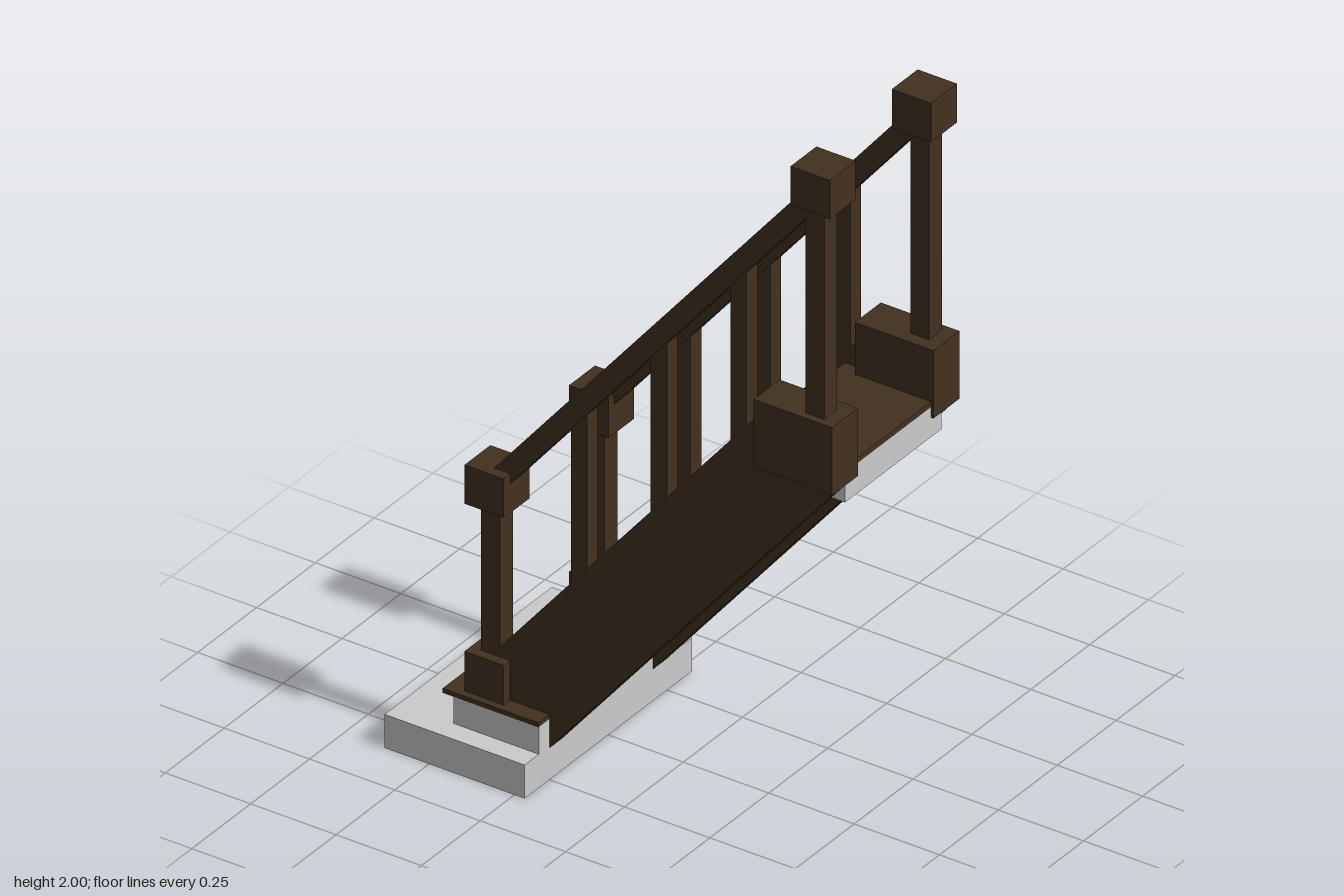
import * as THREE from 'three';

export function createModel() {
  const model = new THREE.Group();
  model.name = 'staircase';
  const wood = new THREE.MeshStandardMaterial({ color: 0x42311f });
  const stone = new THREE.MeshStandardMaterial({ color: 0xcccccc });

  function add(parent, name, geometry, material) {
    const mesh = new THREE.Mesh(geometry, material);
    mesh.name = name;
    parent.add(mesh);
    return mesh;
  }

  // Box given by its extents along x, y and z
  function box(parent, name, [x0, x1], [y0, y1], [z0, z1], material) {
    const mesh = add(parent, name, new THREE.BoxGeometry(x1 - x0, y1 - y0, z1 - z0), material);
    mesh.position.set((x0 + x1) / 2, (y0 + y1) / 2, (z0 + z1) / 2);
  }

  // Side profile in x and y, extruded from z0 to z1
  function plank(parent, name, points, [z0, z1], material) {
    const shape = new THREE.Shape(points.map(([x, y]) => new THREE.Vector2(x, y)));
    const geometry = new THREE.ExtrudeGeometry(shape, { depth: z1 - z0, bevelEnabled: false });
    add(parent, name, geometry, material).position.z = z0;
  }

  // Stone footing and the first, wide step
  box(model, 'footingSlab', [-0.63, -0.22], [0, 0.095], [-0.355, 0.355], stone);
  box(model, 'firstStepBlock', [-0.47, -0.22], [0.095, 0.172], [-0.295, 0.295], stone);
  box(model, 'firstStepTread', [-0.5, -0.22], [0.172, 0.185], [-0.297, 0.297], wood);

  // Steps: a wooden tread on a stone block; the top one is a deeper landing
  const STEPS = 9, RUN = 0.0885, RISE = 0.1075;
  for (let i = 0; i < STEPS; i++) {
    const top = i === STEPS - 1;
    const x = -0.365 + i * RUN;
    const y = 0.295 + i * RISE;
    const back = top ? 0.615 : x + 0.205;
    const half = top ? 0.205 : 0.192;
    box(model, 'tread', [x, back], [y - 0.015, y], [-half, half], wood);
    box(model, 'stepBlock', [x + 0.02, back], [y - 0.1, y - 0.015], [-half, half], stone);
  }

  // One side: stringer, posts, handrail and balusters; z runs outward
  const SLOPE = 1.217;
  const railTop = (x) => 0.823 + (x + 0.385) * SLOPE;
  const stringerTop = (x) => 0.32 + (x + 0.37) * SLOPE;

  for (const side of [1, -1]) {
    const group = new THREE.Group();
    group.name = side > 0 ? 'frontBalustrade' : 'backBalustrade';
    model.add(group);
    const span = (a, b) => (side > 0 ? [a, b] : [-b, -a]);

    plank(group, 'stringer', [
      [-0.22, 0.09], [0.62, 1.11], [0.62, 1.2], [0.42, stringerTop(0.42)],
      [-0.42, stringerTop(-0.42)], [-0.42, 0.18], [-0.22, 0.18],
    ], span(0.19, 0.25), wood);

    // Lower newel post
    box(group, 'lowerPostBase', [-0.45, -0.335], [0.185, 0.297], span(0.167, 0.277), wood);
    box(group, 'lowerPost', [-0.42, -0.365], [0.29, 0.72], span(0.195, 0.25), wood);
    box(group, 'lowerPostCap', [-0.45, -0.335], [0.715, 0.825], span(0.167, 0.277), wood);

    // Upper newel post
    box(group, 'upperPostBase', [0.392, 0.622], [1.11, 1.302], span(0.16, 0.27), wood);
    box(group, 'upperPost', [0.53, 0.585], [1.3, 1.9], span(0.195, 0.25), wood);
    box(group, 'upperPostCap', [0.5, 0.615], [1.89, 2], span(0.16, 0.27), wood);

    const a = -0.385, b = 0.56;
    plank(group, 'handrail', [
      [a, railTop(a) - 0.085], [b, railTop(b) - 0.085], [b, railTop(b)], [a, railTop(a)],
    ], span(0.192, 0.248), wood);

    // Balusters end inside the stringer and the rail
    for (let i = 0; i < 3; i++) {
      const x0 = -0.162 + i * 0.234, x1 = x0 + 0.047;
      plank(group, 'baluster', [
        [x0, stringerTop(x0) - 0.04], [x1, stringerTop(x1) - 0.04],
        [x1, railTop(x1) - 0.04], [x0, railTop(x0) - 0.04],
      ], span(0.197, 0.243), wood);
    }
  }
  return model;
}
